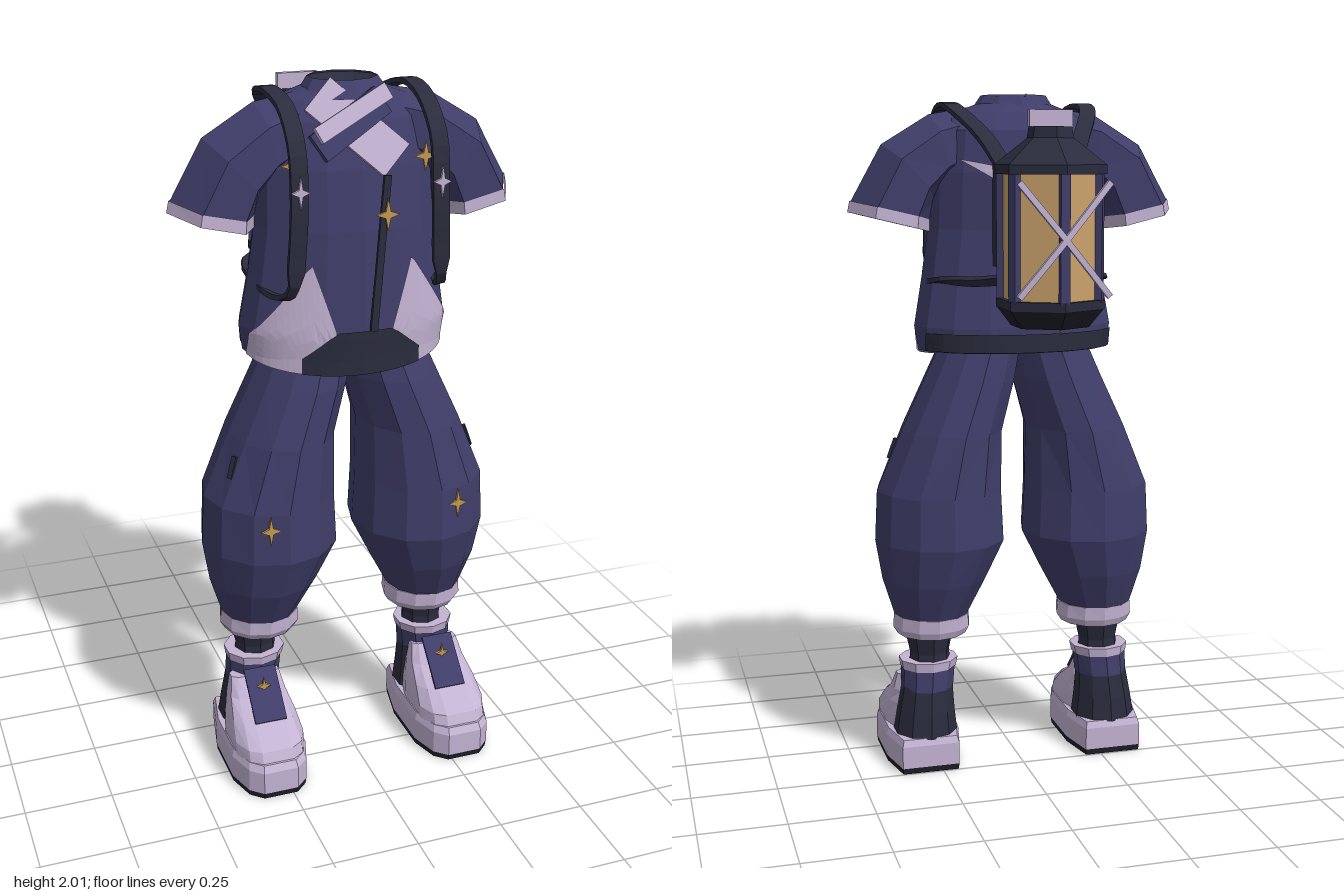
import * as THREE from 'three';

const paint = (name, color) => new THREE.MeshStandardMaterial({ name, color, side: THREE.DoubleSide });
const V = (x, y, z) => new THREE.Vector3(x, y, z);

export function createModel() {
  const navy = paint('navy cloth', 0x403e6a), dark = paint('dark leather', 0x2b2c3d);
  const lilac = paint('lilac trim', 0xc3b3d3), gold = paint('gold', 0xc39a52);
  const glass = paint('lantern glass', 0xcaa26b), black = paint('black rubber', 0x1d1d28);
  const model = new THREE.Group();

  const add = (parent, name, geo, mat, x = 0, y = 0, z = 0) => {
    const flat = geo.index ? geo.toNonIndexed() : geo;
    flat.computeVertexNormals();
    const m = new THREE.Mesh(flat, mat);
    m.name = name;
    m.position.set(x, y, z);
    parent.add(m);
    return m;
  };

  // Skin through equal-length loops of points, optionally closed at both ends
  const loft = (rings, capped = true) => {
    const p = [], n = rings[0].length;
    const tri = (...v) => v.forEach(q => p.push(q.x, q.y, q.z));
    for (let r = 0; r < rings.length - 1; r++) for (let i = 0; i < n; i++) {
      const j = (i + 1) % n, a = rings[r], b = rings[r + 1];
      tri(a[i], a[j], b[j]);
      tri(a[i], b[j], b[i]);
    }
    if (capped) for (let i = 1; i < n - 1; i++) {
      const a = rings[0], b = rings[rings.length - 1];
      tri(a[0], a[i + 1], a[i]);
      tri(b[0], b[i], b[i + 1]);
    }
    const g = new THREE.BufferGeometry();
    g.setAttribute('position', new THREE.Float32BufferAttribute(p, 3));
    return g;
  };

  // Oval loop at a height, given x centre, half width, front z and back z
  const oval = (n) => ([y, cx, hw, zf, zb]) => Array.from({ length: n }, (_, i) => {
    const a = i / n * Math.PI * 2;
    return V(cx + hw * Math.sin(a), y, (zf + zb) / 2 + (zf - zb) / 2 * Math.cos(a));
  });
  const tube = (n, rows, capped) => loft(rows.map(oval(n)), capped);

  // Flat band along a path; out(p) is the direction its face looks
  const ribbon = (pts, width, thick, out, steps = 1) => {
    const c = new THREE.CatmullRomCurve3(pts), rings = [];
    for (let k = 0; k <= steps; k++) {
      const p = c.getPoint(k / steps), t = c.getTangent(k / steps);
      const s = new THREE.Vector3().crossVectors(t, out(p)).normalize();
      const o = new THREE.Vector3().crossVectors(s, t).normalize();
      const w = width(k / steps) / 2;
      rings.push([[1, 1], [-1, 1], [-1, -1], [1, -1]].map(([a, b]) =>
        p.clone().addScaledVector(s, a * w).addScaledVector(o, b * thick / 2)));
    }
    return loft(rings);
  };

  // Four-pointed ornament
  const star = (w, h) => {
    const s = new THREE.Shape();
    for (let i = 0; i < 8; i++) {
      const a = i * Math.PI / 4, k = i % 2 ? 0.3 : 1;
      s[i ? 'lineTo' : 'moveTo'](Math.sin(a) * w / 2 * k, Math.cos(a) * h / 2 * k);
    }
    return new THREE.ExtrudeGeometry(s, { depth: 0.008, bevelEnabled: false });
  };

  // Shirt body, with the hem dipping at the front
  const shirt = [[1.27, 0, .29, .30, -.07], [1.34, 0, .30, .305, -.07], [1.48, 0, .275, .30, -.05],
    [1.62, 0, .255, .295, -.04], [1.78, 0, .25, .275, -.045], [1.9, 0, .235, .24, -.03],
    [1.95, 0, .18, .215, 0], [1.975, 0, .11, .20, .02]];
  const rings = shirt.map(oval(16));
  rings[0].forEach((v, i) => { v.y -= .045 * Math.max(0, Math.cos(i * Math.PI / 8)); });
  add(model, 'shirt', loft(rings, false), navy);
  add(model, 'collar', tube(10, [[1.955, 0, .125, .235, .005], [2, 0, .095, .2, .03]], false), navy);
  add(model, 'neckHole', tube(10, [[1.94, 0, .01, .125, .115], [1.995, 0, .098, .203, .027]], false), dark);

  // Thin panels that follow the shirt
  const hem = x => 1.27 - .045 * Math.sqrt(Math.max(0, 1 - (x / .29) ** 2));
  const onShirt = (x, y, dir, lift) => {
    const k = Math.max(0, shirt.findLastIndex(r => r[0] <= y)), a = shirt[k], b = shirt[k + 1];
    const t = Math.max(0, (y - a[0]) / (b[0] - a[0]));
    const [, , hw, zf, zb] = a.map((v, i) => v + (b[i] - v) * t);
    const c = Math.sqrt(Math.max(0, 1 - (x / hw) ** 2));
    return V(x, y, (zf + zb) / 2 + dir * ((zf - zb) / 2 * c + lift));
  };
  const panel = (name, mat, x0, x1, lo, hi, dir, lift = .005) => {
    const g = new THREE.PlaneGeometry(1, 1, 14, 6), p = g.attributes.position;
    for (let i = 0; i < p.count; i++) {
      const x = x0 + (x1 - x0) * (p.getX(i) + .5), t = p.getY(i) + .5;
      const v = onShirt(x, lo(x) + (hi(x) - lo(x)) * t, dir, lift);
      p.setXYZ(i, v.x, v.y, v.z);
    }
    add(model, name, g, mat);
  };
  const peak = x => { const a = Math.abs(x); return a < .14 ? 1.35 + (a - .08) * 3.1 : 1.54 - (a - .14) * 1.4; };
  for (const s of [1, -1]) {
    panel('hemGusset', lilac, s * .08, s * .288, hem, peak, 1);
    panel('backBlade', lilac, s * .09, s * .19, x => 1.76 + (Math.abs(x) - .09) * .6,
      x => 1.80 + (Math.abs(x) - .09) * .2, -1);
  }
  panel('frontHem', dark, -.17, .17, hem, x => 1.35 - Math.max(0, Math.abs(x) - .08) * .8, 1, .008);
  panel('backHem', dark, -.28, .28, () => 1.272, () => 1.325, -1);

  // Crossed lapels, zip and its pull
  const front = () => V(0, .3, 1);
  add(model, 'lowerLapel', ribbon([V(-.1, 1.97, .2), V(.09, 1.80, .285)], () => .11, .012, front), lilac);
  add(model, 'lapelFold', ribbon([V(-.12, 1.84, .265), V(.07, 1.95, .225)], () => .08, .02, front), navy);
  add(model, 'upperLapel', ribbon([V(-.13, 1.88, .295), V(.08, 1.975, .24)], () => .045, .016, front), lilac);
  add(model, 'zip', ribbon([V(.055, 1.77, .312), V(.02, 1.35, .316)], () => .02, .01, () => V(0, 0, 1)), dark);
  add(model, 'zipPull', star(.065, .085), gold, .05, 1.67, .326);

  // Lantern on the back
  const lantern = new THREE.Group();
  lantern.name = 'lantern';
  lantern.position.z = -.265;
  model.add(lantern);
  const hex = (name, mat, top, bottom, y0, y1) =>
    add(lantern, name, new THREE.CylinderGeometry(top, bottom, y1 - y0, 6), mat, 0, (y0 + y1) / 2, 0);
  hex('lanternBase', black, .15, .11, 1.37, 1.42);
  hex('lanternLowerRim', dark, .152, .152, 1.42, 1.445);
  hex('lanternPane', glass, .135, .135, 1.445, 1.78);
  hex('lanternEave', dark, .157, .157, 1.78, 1.805);
  hex('lanternRoof', dark, .065, .157, 1.805, 1.875);
  hex('lanternCap', dark, .06, .065, 1.875, 1.905);
  add(lantern, 'lanternHandle', new THREE.BoxGeometry(.12, .045, .02), lilac, 0, 1.927, 0);
  for (let i = 0; i < 6; i++) {
    const a = i * Math.PI / 3;
    add(lantern, 'lanternPost', new THREE.BoxGeometry(.026, .34, .024), navy,
      .135 * Math.sin(a), 1.61, .135 * Math.cos(a)).rotation.y = a;
  }
  for (const s of [1, -1]) {
    add(lantern, 'crossedStick', ribbon([V(-s * .125, 1.76, -.14), V(0, 1.61, -.152), V(s * .125, 1.46, -.14)],
      () => .016, .014, () => V(0, 0, -1), 4), lilac);
  }
  add(lantern, 'lanternCharm', star(.04, .07), gold, 0, 1.39, -.108);
  add(model, 'backPad', new THREE.BoxGeometry(.2, .29, .08), dark, 0, 1.665, -.07);

  // Paired parts, modelled on +x and mirrored
  for (const s of [1, -1]) {
    const side = new THREE.Group();
    side.name = s > 0 ? 'leftSide' : 'rightSide';
    side.scale.x = s;
    model.add(side);

    // Six-sided flared sleeve, each loop set by its outer and inner points
    const cuff = ([xo, yo, xi, yi, zr]) => Array.from({ length: 6 }, (_, i) => {
      const a = (i + .5) * Math.PI / 3, t = (1 + Math.sin(a)) / 2;
      return V(xi + (xo - xi) * t, yi + (yo - yi) * t, .12 + zr * Math.cos(a));
    });
    add(side, 'sleeveTrim', loft([[.49, 1.67, .25, 1.612, .143], [.483, 1.702, .248, 1.647, .142]].map(cuff), false), lilac);
    add(side, 'sleeve', loft([[.48, 1.7, .25, 1.645, .14], [.39, 1.86, .235, 1.70, .14],
      [.25, 1.945, .2, 1.75, .125], [.14, 1.965, .1, 1.8, .08]].map(cuff), false), navy);

    // Carrying strap, over the shoulder and back under the arm
    add(side, 'strap', ribbon([V(.1, 1.8, -.16), V(.14, 1.88, -.1), V(.19, 1.95, 0), V(.2, 1.972, .1),
      V(.195, 1.945, .23), V(.195, 1.86, .315), V(.195, 1.74, .335), V(.2, 1.6, .333), V(.21, 1.48, .315),
      V(.23, 1.45, .25), V(.25, 1.46, .17), V(.24, 1.48, 0), V(.17, 1.48, -.08), V(.1, 1.49, -.16)],
      t => (t < .6 ? .046 : .028), .014, p => V(0, p.y - 1.6, p.z - .1), 40), dark);
    add(side, 'strapStar', star(.05, .085), lilac, .195, 1.75, .343);
    add(side, 'chestStar', star(.065, .08), gold, .185, 1.8, .25);

    // Ballooning trouser leg
    add(side, 'trouserLeg', tube(12, [[.465, .26, .11, .24, 0], [.58, .2475, .158, .30, -.05],
      [.70, .2275, .1975, .34, -.085], [.85, .2275, .19, .335, -.08], [1.03, .19, .15, .32, -.07],
      [1.18, .135, .135, .295, -.045], [1.29, .1, .12, .265, -.025]]), navy);
    add(side, 'trouserCuff', tube(12, [[.408, .258, .105, .225, .01], [.43, .258, .118, .24, 0], [.47, .258, .115, .243, -.003]]), lilac);
    add(side, 'trouserStar', star(.055, .085), gold, .28, .805, .322);
    add(side, 'pocketSlit', ribbon([V(.343, .99, .205), V(.362, .93, .215)], () => .016, .012, () => V(1, 0, .6)), dark);
    add(side, 'sock', tube(8, [[.3, .268, .065, .17, .04], [.35, .268, .06, .165, .045], [.42, .268, .075, .18, .03]]), dark);

    // Shoe, from outlines tapered in width and depth
    const outline = [[.05, 1], [.085, .92], [.11, .72], [.11, .3], [.085, 0]];
    const loop = ([y, w, zf, zb]) => [...outline, ...outline.map(([x, z]) => [-x, z]).reverse()]
      .map(([x, z]) => V(.288 + x * w, y, zb + (zf - zb) * z));
    const shoe = rows => loft(rows.map(loop));
    add(side, 'outsole', shoe([[0, 1, .413, .003], [.02, 1.02, .415, .001]]), black);
    add(side, 'midsole', shoe([[.018, 1.02, .417, 0], [.085, 1.02, .417, 0], [.105, .96, .405, .008]]), lilac);
    add(side, 'toe', shoe([[.1, .93, .4, .105], [.135, .93, .385, .11], [.18, .86, .315, .115],
      [.22, .76, .23, .12], [.27, .66, .185, .13]]), lilac);
    add(side, 'heel', tube(10, [[.1, .285, .098, .2, .002], [.17, .283, .088, .19, .01], [.25, .278, .078, .175, .025]]), dark);
    add(side, 'ankle', tube(10, [[.24, .278, .08, .185, .022], [.31, .273, .082, .185, .028]]), navy);
    add(side, 'shoeCollar', tube(10, [[.303, .273, .085, .19, .025], [.33, .272, .09, .195, .022]]), lilac);
    add(side, 'tongue', ribbon([V(.283, .185, .31), V(.283, .3, .195)], () => .095, .008, () => V(0, 1, 1)), navy);
    add(side, 'tongueStar', star(.04, .06), gold, .283, .265, .238);
  }
  return model;
}
